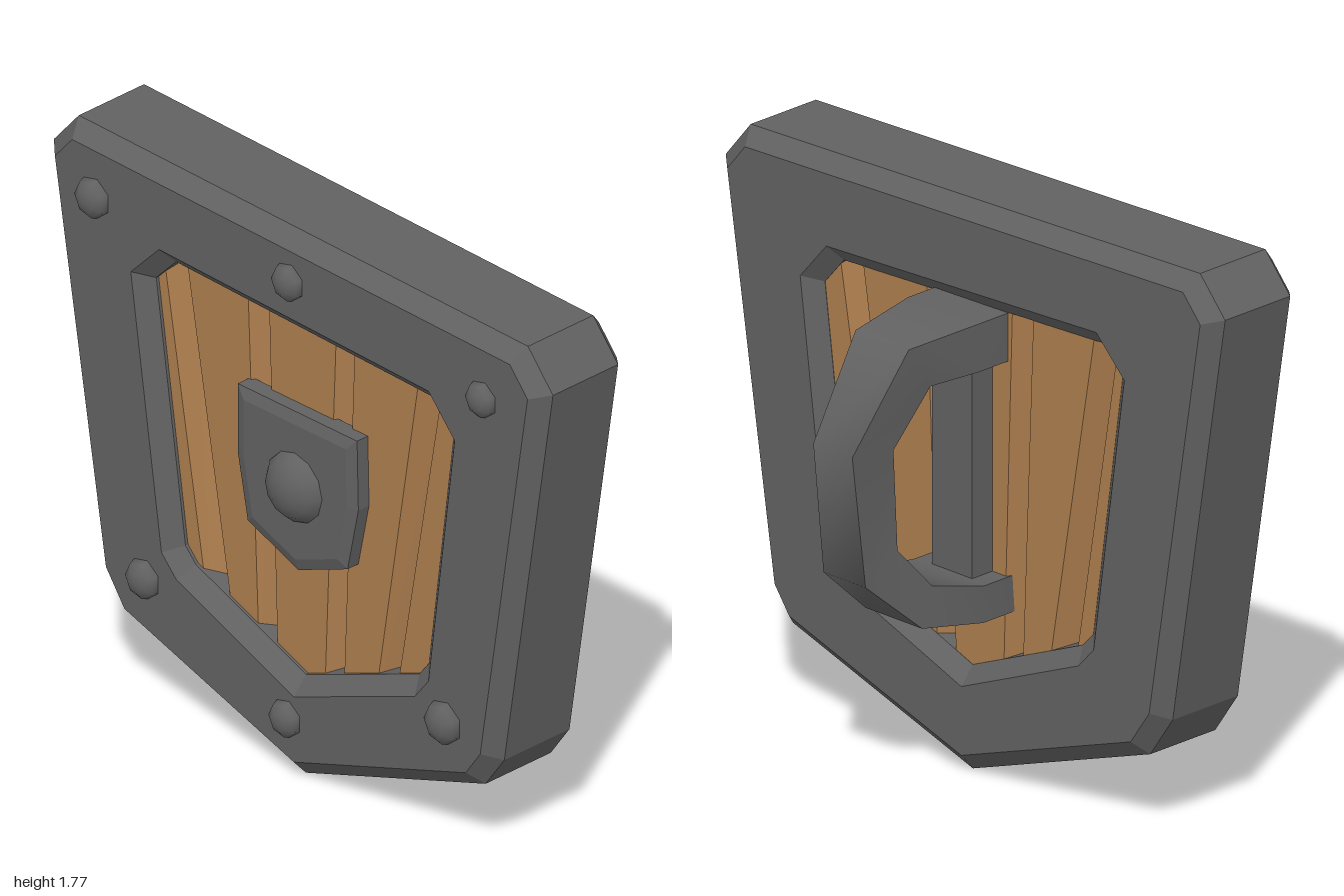
import * as THREE from 'three';
import { toCreasedNormals } from 'three/addons/utils/BufferGeometryUtils.js';

const iron = new THREE.MeshStandardMaterial({ color: 0x616161 });
iron.name = 'iron';
const wood = new THREE.MeshStandardMaterial({ color: 0xac7d4e });
wood.name = 'wood';

// Flat-shaded skin over a series of closed rings of [x, y, z] points
function loft(rings, wrap = false) {
  const pos = [];
  const n = rings[0].length;
  const count = wrap ? rings.length : rings.length - 1;
  for (let i = 0; i < count; i++) {
    const r0 = rings[i], r1 = rings[(i + 1) % rings.length];
    for (let j = 0; j < n; j++) {
      const k = (j + 1) % n;
      pos.push(...r0[j], ...r0[k], ...r1[k], ...r0[j], ...r1[k], ...r1[j]);
    }
  }
  const geo = new THREE.BufferGeometry();
  geo.setAttribute('position', new THREE.Float32BufferAttribute(pos, 3));
  geo.computeVertexNormals();
  return geo;
}

// Moves every edge of a counter-clockwise outline inward by d
function inset(pts, d) {
  const n = pts.length;
  const normal = (a, b) => {
    const l = Math.hypot(b[0] - a[0], b[1] - a[1]);
    return [-(b[1] - a[1]) / l, (b[0] - a[0]) / l];
  };
  return pts.map((p, i) => {
    const a = normal(pts[(i + n - 1) % n], p), b = normal(p, pts[(i + 1) % n]);
    const s = d / (1 + a[0] * b[0] + a[1] * b[1]);
    return [p[0] + s * (a[0] + b[0]), p[1] + s * (a[1] + b[1])];
  });
}

export function createModel() {
  const group = new THREE.Group();
  const add = (name, geo, mat, x = 0, y = 0, z = 0) => {
    const mesh = new THREE.Mesh(geo, mat);
    mesh.name = name;
    mesh.position.set(x, y, z);
    group.add(mesh);
  };

  // Bevelled rim with an opening
  const outer = [[0.01, 0], [0.73, 0.24], [0.805, 0.345], [1, 1.595], [0.9, 1.715],
    [-0.9, 1.77], [-1, 1.655], [-0.79, 0.375], [-0.7, 0.245]];
  const hole = [[0.01, 0.263], [0.495, 0.45], [0.55, 0.52], [0.655, 1.335], [0.55, 1.455],
    [-0.53, 1.498], [-0.643, 1.383], [-0.52, 0.525], [-0.46, 0.46]];
  const outerFace = inset(outer, 0.05), holeThroat = inset(hole, 0.05);
  const at = (pts, z) => pts.map(([x, y]) => [x, y, z]);
  add('rim', loft([
    at(outerFace, 0.047), at(outer, 0.094), at(outer, 0.355), at(outerFace, 0.404),
    at(hole, 0.404), at(holeThroat, 0.355), at(holeThroat, 0.094), at(hole, 0.047),
  ], true), iron);

  // Planked panel: fanned grooves given as left and right edge at top, then at bottom
  const grooves = [[-0.585, -0.49, -0.37, -0.27], [-0.235, -0.15, -0.185, -0.11],
    [0.125, 0.2, 0.075, 0.15], [0.47, 0.565, 0.265, 0.34]];
  const columns = [[-0.75, -0.52, 0]];
  for (const [tl, tr, bl, br] of grooves) {
    columns.push([tl, bl, 0], [tl + (tr - tl) * 0.6, bl + (br - bl) * 0.6, 0.07], [tr, br, 0]);
  }
  columns.push([0.76, 0.54, 0]);
  const panelRing = (side, y) => [
    ...columns.map(c => [c[side], y, 0.345 - c[2]]),
    ...columns.slice().reverse().map(c => [c[side], y, 0.095 + c[2]]),
  ];
  add('planks', loft([panelRing(1, 0.25), panelRing(0, 1.54)]), wood);

  // Small crest plate with a shallow bevel, and its boss
  const crest = new THREE.Shape([[0.013, 0.667], [0.21, 0.745], [0.253, 0.95], [0.248, 1.172],
    [-0.23, 1.175], [-0.23, 0.955], [-0.19, 0.75]].map(p => new THREE.Vector2(...p)));
  add('crestPlate', new THREE.ExtrudeGeometry(crest, {
    depth: 0.055, bevelThickness: 0.012, bevelSize: 0.035, bevelOffset: -0.035, bevelSegments: 1,
  }), iron, 0, 0, 0.333);
  const dome = (r, sides, rows, flat) =>
    new THREE.SphereGeometry(r, sides, rows).rotateX(Math.PI / 2).scale(1, 1, flat);
  add('boss', dome(0.117, 12, 8, 0.8), iron, 0.01, 0.938, 0.37);

  // Rivets around the rim
  for (const [x, y, r] of [[-0.792, 1.566, 0.065], [-0.01, 1.593, 0.06], [0.765, 1.512, 0.058],
    [-0.59, 0.415, 0.064], [0.613, 0.413, 0.069], [-0.02, 0.183, 0.06]]) {
    add('rivet', dome(r, 7, 6, 0.72), iron, x, y, 0.402);
  }

  // Back grip: stations of outer z, y and inner z, y, narrowing away from the panel
  const stations = [[0.13, 1.43, 0.13, 1.283], [-0.02, 1.43, -0.02, 1.283],
    [-0.267, 1.41, -0.18, 1.274], [-0.465, 1.128, -0.3, 1.105], [-0.418, 0.72, -0.29, 0.797],
    [-0.22, 0.547, -0.18, 0.667], [-0.005, 0.512, 0, 0.624], [0.13, 0.512, 0.13, 0.624]];
  const cx = 0.013;
  const grip = loft(stations.map(([oz, oy, iz, iy]) => {
    const w = 0.143 - 0.065 * THREE.MathUtils.clamp((-oz - 0.02) / 0.44, 0, 1);
    return [[cx - w, oy, oz], [cx + w, oy, oz], [cx + w, iy, iz], [cx - w, iy, iz]];
  }));
  add('grip', toCreasedNormals(grip, 1.1), iron);
  add('gripPlate', new THREE.BoxGeometry(0.16, 0.72, 0.125), iron, cx, 0.954, 0.076);

  return group;
}
